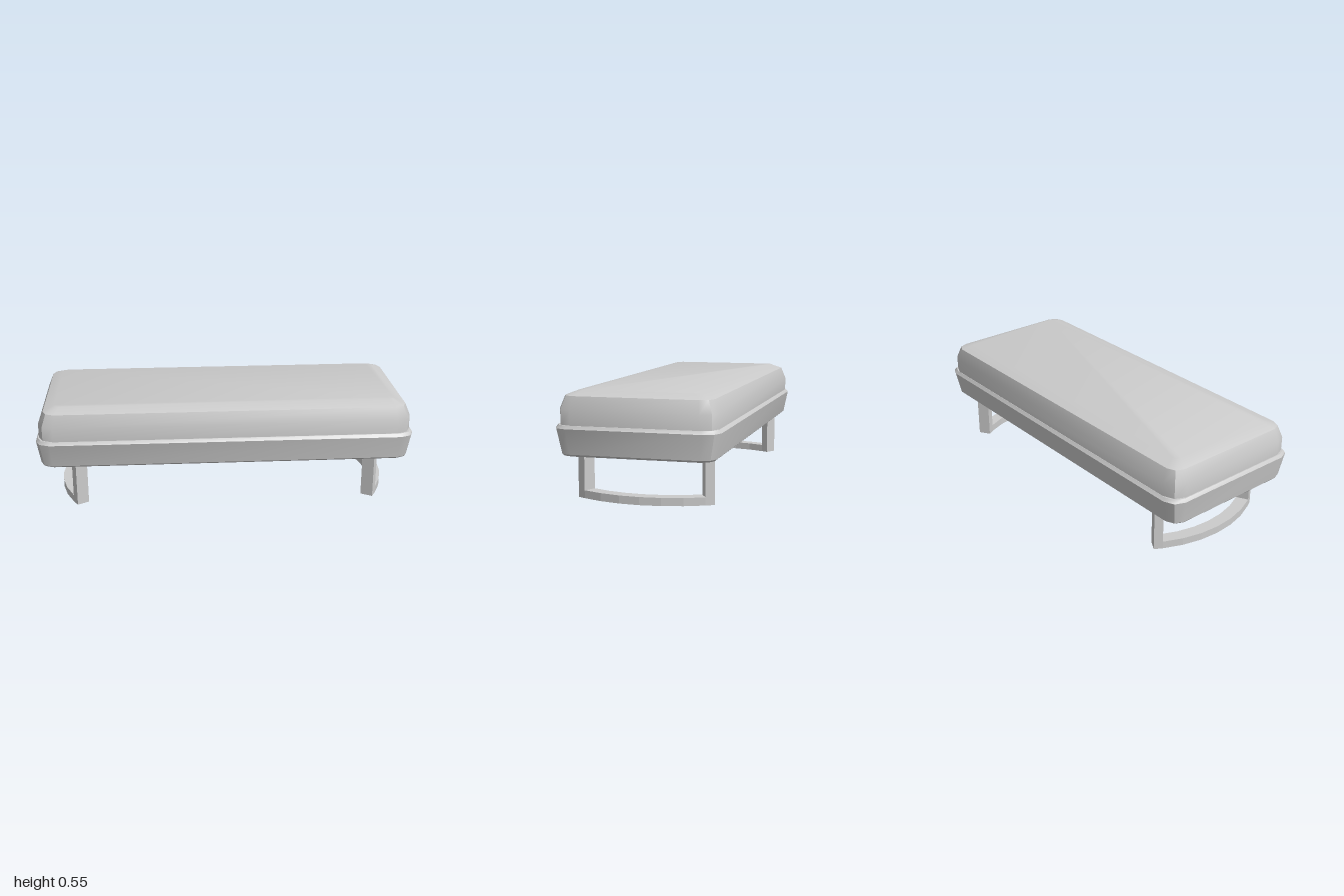
import * as THREE from 'three';
import { toCreasedNormals } from 'three/addons/utils/BufferGeometryUtils.js';

const material = new THREE.MeshStandardMaterial({ color: 0xcccccc });

// Rectangle outline with two-step bevelled corners, counter-clockwise seen from above
function outline(hx, hz, r) {
  const m = 0.3 * r;
  const corner = [[hx, hz - r], [hx - m, hz - m], [hx - r, hz]];
  const flipped = [...corner].reverse();
  return [
    ...corner,
    ...flipped.map(([x, z]) => [-x, z]),
    ...corner.map(([x, z]) => [-x, -z]),
    ...flipped.map(([x, z]) => [x, -z]),
  ];
}

// Stacks outlines given as [y, halfX, halfZ, cornerSize] into a closed, capped solid
function loft(name, sections) {
  const positions = [], index = [], n = 12;
  for (const [y, hx, hz, r] of sections) {
    for (const [x, z] of outline(hx, hz, r)) positions.push(x, y, z);
  }
  for (let s = 0; s < sections.length - 1; s++) {
    for (let i = 0; i < n; i++) {
      const a = s * n + i, b = s * n + (i + 1) % n;
      index.push(a, a + n, b, b, a + n, b + n);
    }
  }
  const top = (sections.length - 1) * n;
  for (let i = 1; i < n - 1; i++) {
    index.push(0, i, i + 1, top, top + i + 1, top + i);
  }
  const geometry = new THREE.BufferGeometry();
  geometry.setAttribute('position', new THREE.Float32BufferAttribute(positions, 3));
  geometry.setIndex(index);
  geometry.computeVertexNormals();
  const mesh = new THREE.Mesh(toCreasedNormals(geometry, 0.6), material);
  mesh.name = name;
  return mesh;
}

// Upright solid over a slice of the bowed leg's ground plan
const CENTER = 0.2375, OUTER = 0.6625, INNER = 0.595, SPREAD = 0.556, POST = 0.07;
function arcSolid(name, from, to, segments, y0, y1) {
  const points = [];
  const add = (radius, t) => {
    const angle = from + (to - from) * t;
    points.push(new THREE.Vector2(CENTER + radius * Math.cos(angle), radius * Math.sin(angle)));
  };
  for (let i = 0; i <= segments; i++) add(OUTER, i / segments);
  for (let i = segments; i >= 0; i--) add(INNER, i / segments);
  const geometry = new THREE.ExtrudeGeometry(new THREE.Shape(points), { depth: y1 - y0, bevelEnabled: false });
  geometry.rotateX(-Math.PI / 2).translate(0, y0, 0);
  const mesh = new THREE.Mesh(geometry, material);
  mesh.name = name;
  return mesh;
}

// Two posts joined at the floor by an outward-bowed bar
function makeLeg(name) {
  const leg = new THREE.Group();
  leg.name = name;
  const inner = SPREAD - POST;
  leg.add(arcSolid('floorBar', -inner, inner, 6, 0, 0.04));
  leg.add(arcSolid('frontPost', -SPREAD, -inner, 1, 0, 0.24));
  leg.add(arcSolid('backPost', inner, SPREAD, 1, 0, 0.24));
  return leg;
}

export function createModel() {
  const bench = new THREE.Group();
  bench.name = 'bench';

  // Tapered seat frame with a thin bevelled rim
  bench.add(loft('seatFrame', [
    [0.235, 0.97, 0.375, 0.06],
    [0.245, 0.98, 0.387, 0.065],
    [0.37, 1.0, 0.412, 0.075],
    [0.386, 0.99, 0.4, 0.07],
  ]));

  // Padded top
  bench.add(loft('cushion', [
    [0.38, 0.985, 0.398, 0.08],
    [0.46, 0.985, 0.398, 0.08],
    [0.525, 0.958, 0.372, 0.06],
    [0.549, 0.9, 0.31, 0.03],
  ]));

  // Legs, the second turned to face the other end
  const leftLeg = makeLeg('leftLeg');
  const rightLeg = makeLeg('rightLeg');
  rightLeg.rotation.y = Math.PI;
  bench.add(leftLeg, rightLeg);
  return bench;
}
